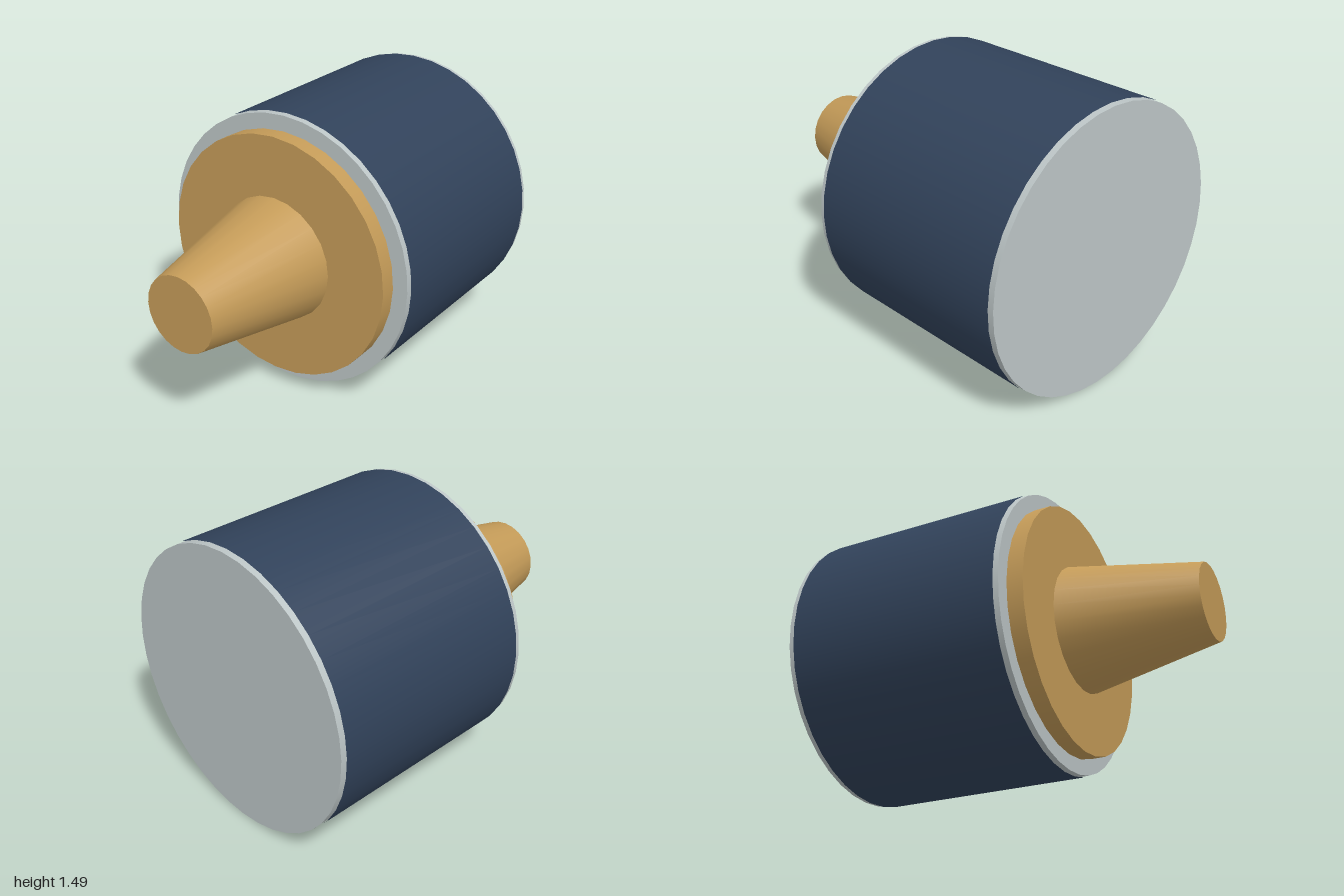
import * as THREE from 'three';

const AXIS_Y = 0.744;

export function createModel() {
  const model = new THREE.Group();
  model.name = 'cylindricalFitting';

  const paint = (name, color) => {
    const m = new THREE.MeshStandardMaterial({ color });
    m.name = name;
    return m;
  };
  const navy = paint('navy', 0x31425a);
  const silver = paint('silver', 0xbcc5c6);
  const brass = paint('brass', 0xc49b58);

  // A round section along z, from its back end to its front end
  function section(name, material, backR, frontR, backZ, frontZ, sides, open = false) {
    const geo = new THREE.CylinderGeometry(frontR, backR, frontZ - backZ, sides, 1, open);
    geo.rotateX(Math.PI / 2);
    const mesh = new THREE.Mesh(geo, material);
    mesh.name = name;
    mesh.position.set(0, AXIS_Y, (backZ + frontZ) / 2);
    model.add(mesh);
  }

  // Metal body, its ends showing as thin rims beyond the sleeve
  section('body', silver, 0.738, 0.738, -1, 0.212, 40);
  // Dark sleeve wrapped around the body
  section('sleeve', navy, 0.743, 0.743, -0.972, 0.185, 40, true);
  // Brass front plate and tapered nozzle
  section('frontPlate', brass, 0.657, 0.657, 0.2, 0.298, 32);
  section('nozzle', brass, 0.335, 0.2, 0.295, 1, 24);

  return model;
}
